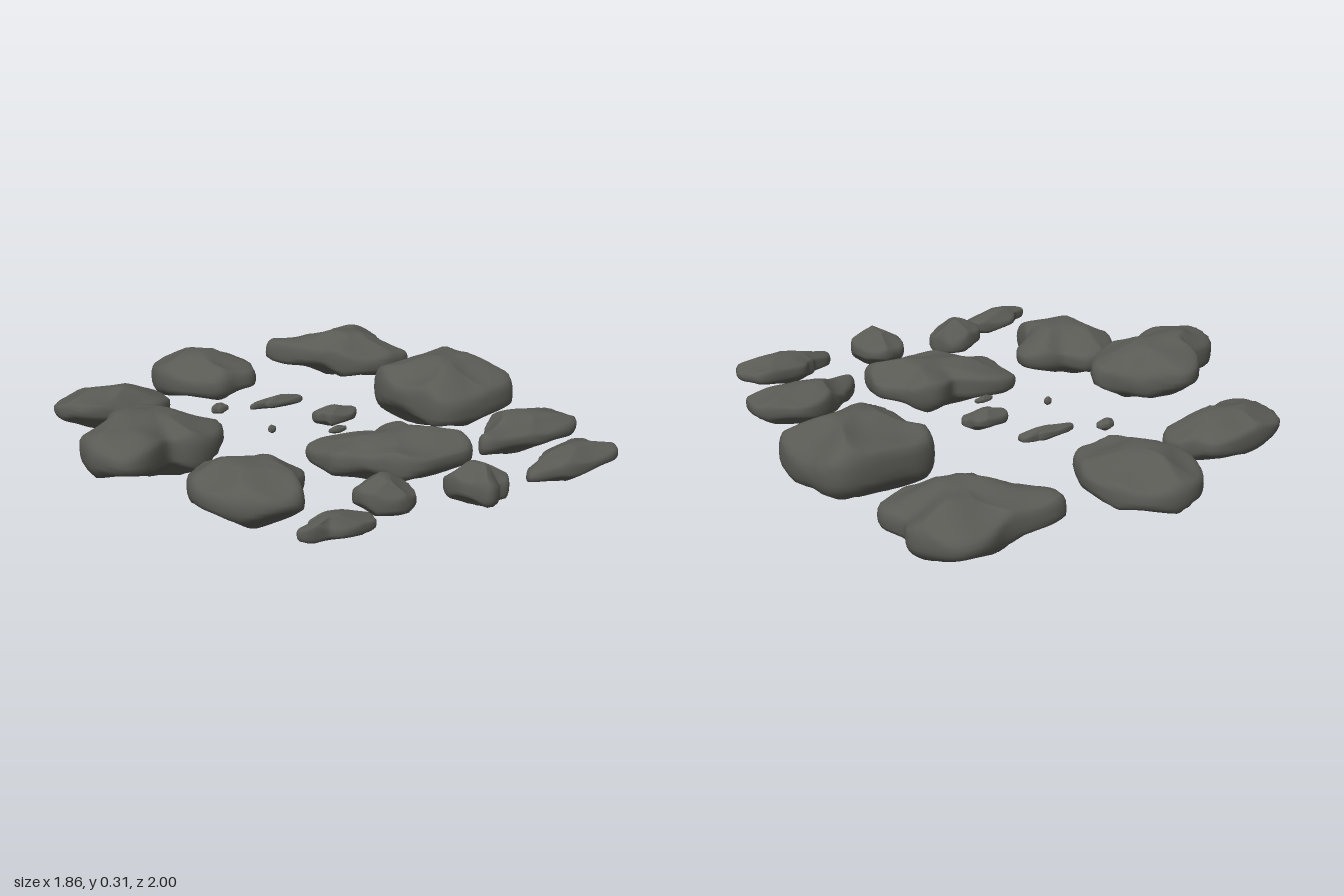
import * as THREE from 'three';

const SEGMENTS = 90, RINGS = 23, LOBE_WIDTH = 18;

// Soft lumps with a few ridges
function lumps(x, y, z) {
  return 0.5 * Math.sin(11 * x + 5 * z + 2) * Math.sin(13 * z - 4 * x + 9 * y)
    + 0.35 * Math.sin(23 * x - 12 * z + 8 * y) * Math.sin(19 * z + 9 * x)
    + 0.5 * (0.5 - Math.abs(Math.sin(8 * x - 10 * z + 12 * y + 1)));
}

// Superellipse radius, swollen or notched by lobes of [angle in degrees from +x towards +z, amount]
function outlineRadius(degrees, square, lobes) {
  const a = THREE.MathUtils.degToRad(degrees);
  let radius = Math.pow(Math.abs(Math.cos(a)) ** square + Math.abs(Math.sin(a)) ** square, -1 / square);
  for (const [angle, amount] of lobes) {
    const apart = Math.abs(((degrees - angle + 540) % 360) - 180);
    radius += amount * Math.exp(-((apart / LOBE_WIDTH) ** 2));
  }
  return radius;
}

// Slanted planes that chip flat faces off the upper and lower shoulders of a unit rock
function chipPlanes(seed) {
  const planes = [];
  for (let k = 0; k < 10; k++) {
    const turn = seed + k * 1.26 + 0.3 * Math.sin(seed + 5 * k);
    const tilt = (k < 5 ? 1 : -1) * (0.8 + 0.2 * Math.sin(3 * seed + 2 * k));
    const normal = new THREE.Vector3(Math.cos(turn) * Math.cos(tilt), Math.sin(tilt), Math.sin(turn) * Math.cos(tilt));
    planes.push(new THREE.Plane(normal, -0.9 - 0.05 * Math.sin(7 * k + seed)));
  }
  return planes;
}

// Loft rings from a bottom pole to a top pole, each a shrunken, rounder copy of the outline
function rockGeometry([cx, cz], [rx, rz], [bottom, top], { lobes = [], square = 2, slope = [0, 0], waist = 0.14, power = 0.65 }) {
  const bump = Math.min(0.018, (top - bottom) * 0.1);
  const planes = chipPlanes(20 * cx + 9 * cz);
  const positions = [], index = [];
  const unit = new THREE.Vector3();
  const add = (radius) => {
    for (const plane of planes) {
      const over = plane.distanceToPoint(unit);
      if (over > 0) unit.addScaledVector(plane.normal, -over);
    }
    const level = unit.y, dx = rx * radius * unit.x, dz = rz * radius * unit.z;
    const half = level > 0 ? top - waist : waist - bottom;
    const y = waist + level * half + slope[0] * dx + slope[1] * dz;
    const n = lumps(cx + dx, y, cz + dz) * bump;
    const lift = n * Math.sign(level) * Math.min(1, Math.abs(level) * 1.5);
    positions.push(cx + dx, Math.max(0, y + lift), cz + dz);
  };

  unit.set(0, -1, 0);
  add(1);
  for (let r = 1; r <= RINGS; r++) {
    const a = Math.PI * (r / (RINGS + 1) - 0.5);
    const shrink = Math.cos(a) ** power;
    const level = Math.sign(a) * Math.abs(Math.sin(a)) ** (power + 0.15);
    for (let i = 0; i < SEGMENTS; i++) {
      const degrees = 360 - (i * 360) / SEGMENTS;
      const t = THREE.MathUtils.degToRad(degrees);
      unit.set(shrink * Math.cos(t), level, shrink * Math.sin(t));
      add(THREE.MathUtils.lerp(1, outlineRadius(degrees, square, lobes), shrink));
    }
  }
  unit.set(0, 1, 0);
  add(1);

  const last = RINGS * SEGMENTS + 1;
  for (let i = 0; i < SEGMENTS; i++) {
    const j = (i + 1) % SEGMENTS;
    index.push(0, 1 + j, 1 + i);
    for (let r = 0; r < RINGS - 1; r++) {
      const a = 1 + r * SEGMENTS + i, b = 1 + r * SEGMENTS + j;
      index.push(a, b, a + SEGMENTS, b, b + SEGMENTS, a + SEGMENTS);
    }
    index.push(last - SEGMENTS + i, last - SEGMENTS + j, last);
  }
  const geometry = new THREE.BufferGeometry();
  geometry.setAttribute('position', new THREE.Float32BufferAttribute(positions, 3));
  geometry.setIndex(index);
  geometry.computeVertexNormals();
  return geometry;
}

export function createModel() {
  const model = new THREE.Group();
  model.name = 'scatteredRocks';
  const stone = new THREE.MeshStandardMaterial({ color: 0x5a5a55 });
  stone.name = 'darkStone';

  // centre [x, z], half size [x, z], height [bottom, top]
  const rock = (name, centre, size, height, options = {}) => {
    const mesh = new THREE.Mesh(rockGeometry(centre, size, height, options), stone);
    mesh.name = name;
    model.add(mesh);
  };

  // Back row
  rock('backLeftRock', [-0.47, -0.62], [0.23, 0.14], [0.06, 0.22],
    { square: 2.6, slope: [-0.08, 0], lobes: [[160, -0.08], [326, -0.2], [72, -0.15]] });
  rock('backRock', [0.04, -0.78], [0.2, 0.22], [0.05, 0.24],
    { slope: [0, 0.03], lobes: [[108, 0.16], [65, 0.16]] });
  rock('backRightRock', [0.7, -0.69], [0.23, 0.21], [0.05, 0.25], {
    slope: [-0.06, 0],
    lobes: [[214, 0.5], [49, 0.23], [78, 0.15], [104, 0.08], [14, -0.18], [145, -0.1], [165, -0.15], [258, -0.1], [302, 0.1]],
  });

  // Large rocks at the sides
  rock('leftRock', [-0.64, -0.03], [0.25, 0.2], [0.07, 0.3], {
    waist: 0.19, slope: [-0.06, -0.06],
    lobes: [[130, 0.42], [158, 0.24], [100, -0.25], [185, 0.12], [226, -0.32], [278, 0.36], [336, -0.16], [5, 0.06]],
  });
  rock('rightRock', [0.685, -0.03], [0.235, 0.235], [0, 0.285],
    { square: 4.5, power: 0.62, slope: [0.02, -0.05], lobes: [[145, -0.08], [50, -0.06], [220, -0.05]] });

  // Front row
  rock('frontLeftRock', [-0.57, 0.46], [0.2, 0.24], [0.04, 0.24],
    { power: 0.75, lobes: [[305, -0.25], [328, -0.06], [350, 0.14], [30, -0.28], [52, -0.16]] });
  rock('frontRock', [0.05, 0.44], [0.26, 0.21], [0.04, 0.22], {
    slope: [0.02, 0],
    lobes: [[228, 0.32], [272, -0.34], [310, -0.08], [338, -0.17], [48, 0.18], [132, -0.2], [160, -0.21]],
  });
  rock('frontRightRock', [0.58, 0.52], [0.22, 0.12], [0.07, 0.21],
    { slope: [0.03, 0], lobes: [[150, 0.25], [190, -0.18], [215, -0.23], [242, -0.18], [285, 0.13], [44, 0.18]] });

  // Outermost small rocks
  rock('outerRightRock', [0.47, 0.88], [0.205, 0.09], [0.09, 0.2],
    { slope: [0.06, 0], lobes: [[152, 0.18], [205, -0.32], [235, -0.3], [302, 0.28], [44, 0.12]] });
  rock('outerMiddleRock', [0.055, 0.88], [0.095, 0.11], [0.08, 0.22],
    { lobes: [[220, 0.17], [72, -0.25], [120, 0.22]] });
  rock('outerSmallRock', [-0.275, 0.8], [0.105, 0.09], [0.08, 0.22],
    { slope: [-0.1, 0], lobes: [[215, 0.1], [325, -0.1]] });
  rock('outerLeftRock', [-0.56, 0.9], [0.15, 0.065], [0.1, 0.19],
    { slope: [-0.06, 0], lobes: [[205, -0.28], [230, -0.2], [120, -0.3], [40, 0.1]] });

  // Pebbles in the middle
  rock('backPebble', [-0.165, -0.34], [0.035, 0.022], [0.12, 0.165], { lobes: [[40, 0.1], [135, -0.2]] });
  rock('longPebble', [0.05, -0.28], [0.115, 0.028], [0.12, 0.17], { lobes: [[40, 0.25], [135, -0.3], [310, -0.3]] });
  rock('centrePebble', [0.15, -0.025], [0.09, 0.05], [0.1, 0.18], { lobes: [[220, 0.2], [150, -0.2], [320, -0.15]] });
  rock('tinyPebble', [-0.147, -0.02], [0.016, 0.011], [0.125, 0.155]);
  rock('frontPebble', [0.04, 0.13], [0.04, 0.013], [0.128, 0.157]);
  return model;
}
